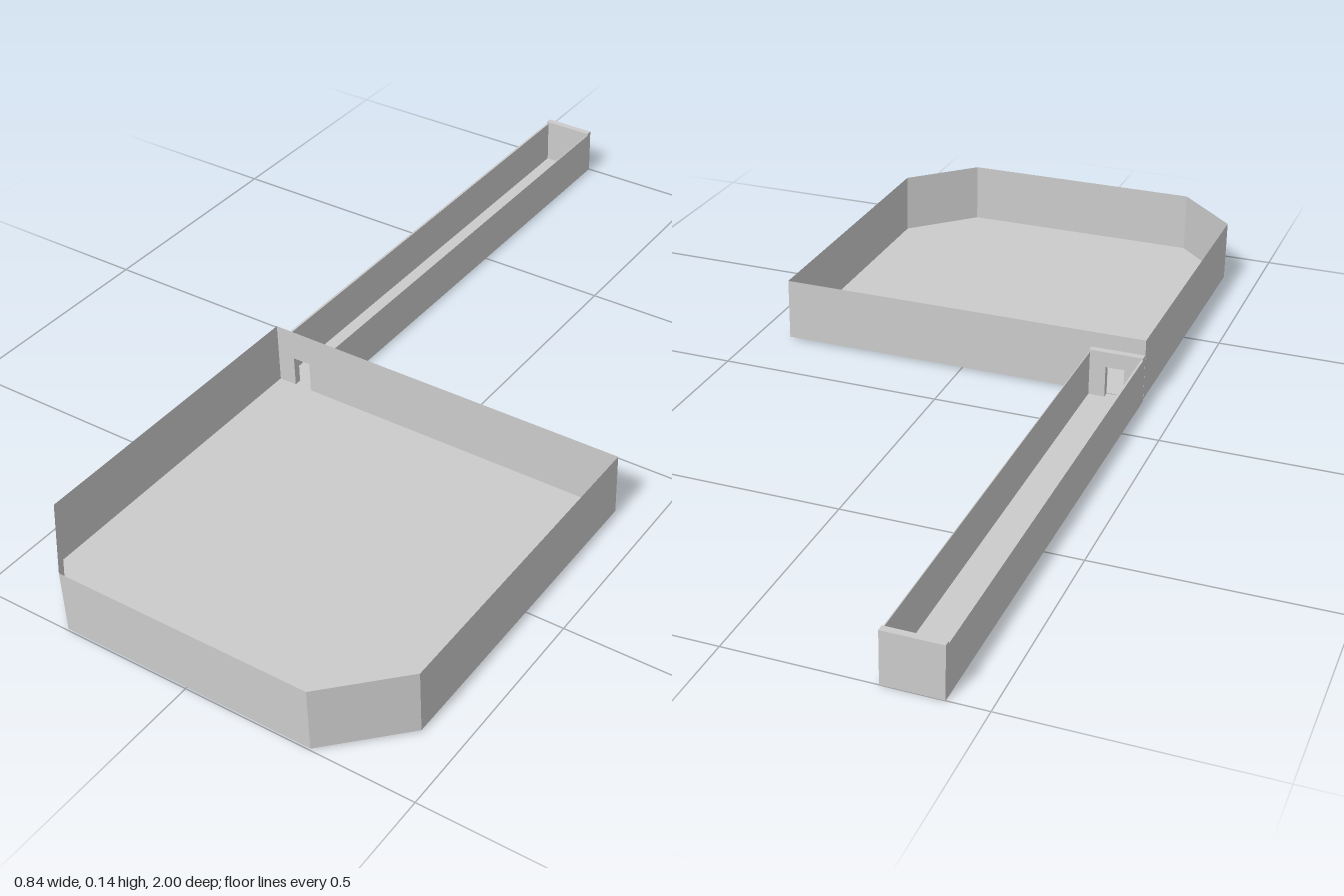
import * as THREE from 'three';

const material = new THREE.MeshStandardMaterial({ color: 0xcccccc, side: THREE.DoubleSide, flatShading: true });

const FLOOR = 0.005, RIM = 0.145, BACK = 0.157;
const DOOR = { x0: -0.38, x1: -0.338, top: 0.075 };

function add(parent, name, geometry, x = 0, y = 0, z = 0) {
  const mesh = new THREE.Mesh(geometry, material);
  mesh.name = name;
  mesh.position.set(x, y, z);
  parent.add(mesh);
  return mesh;
}

// Box given by its minimum and maximum corners
function addBox(parent, name, [x0, y0, z0], [x1, y1, z1]) {
  return add(parent, name, new THREE.BoxGeometry(x1 - x0, y1 - y0, z1 - z0),
    (x0 + x1) / 2, (y0 + y1) / 2, (z0 + z1) / 2);
}

// Upright panel with a doorway cut up from its lower edge
function doorPanel(x0, x1, y0, y1) {
  return new THREE.Shape([
    [x0, y0], [DOOR.x0, y0], [DOOR.x0, DOOR.top], [DOOR.x1, DOOR.top],
    [DOOR.x1, y0], [x1, y0], [x1, y1], [x0, y1],
  ].map(([x, y]) => new THREE.Vector2(x, y)));
}

export function createModel() {
  const model = new THREE.Group();
  model.name = 'trayWithChannel';

  // Thin-walled tray with two clipped front corners
  const tray = new THREE.Group();
  tray.name = 'tray';
  model.add(tray);
  const outline = [[-0.42, BACK], [-0.42, 0.86], [-0.28, 1], [0.28, 1], [0.42, 0.86], [0.42, BACK]];
  const floorShape = new THREE.Shape(outline.map(([x, z]) => new THREE.Vector2(x, z)));
  add(tray, 'trayFloor', new THREE.ShapeGeometry(floorShape).rotateX(Math.PI / 2), 0, FLOOR, 0);
  for (let i = 0; i < outline.length - 1; i++) {
    const [ax, az] = outline[i], [bx, bz] = outline[i + 1];
    const wall = add(tray, 'trayWall',
      new THREE.PlaneGeometry(Math.hypot(bx - ax, bz - az), RIM - FLOOR),
      (ax + bx) / 2, (FLOOR + RIM) / 2, (az + bz) / 2);
    wall.rotation.y = Math.atan2(az - bz, bx - ax);
  }
  add(tray, 'trayBackWall', new THREE.ShapeGeometry(doorPanel(-0.42, 0.42, FLOOR, RIM)), 0, 0, BACK);

  // Long open channel leading back from the doorway
  const channel = new THREE.Group();
  channel.name = 'channel';
  model.add(channel);
  const x0 = -0.42, x1 = -0.3, top = 0.105;
  addBox(channel, 'channelFloor', [x0, 0, -1], [x1, 0.004, 0.156]);
  addBox(channel, 'channelOuterWall', [x0, 0, -0.985], [x0 + 0.005, top, 0.14]);
  addBox(channel, 'channelInnerWall', [x1 - 0.002, 0, -0.985], [x1, top, 0.14]);
  addBox(channel, 'channelEndWall', [x0, 0, -1], [x1, 0.11, -0.985]);

  // Thick end wall with the passage into the tray
  add(channel, 'channelDoorWall', new THREE.ExtrudeGeometry(doorPanel(x0, x1, 0.002, 0.11),
    { depth: 0.016, bevelEnabled: false }), 0, 0, 0.14);

  return model;
}
